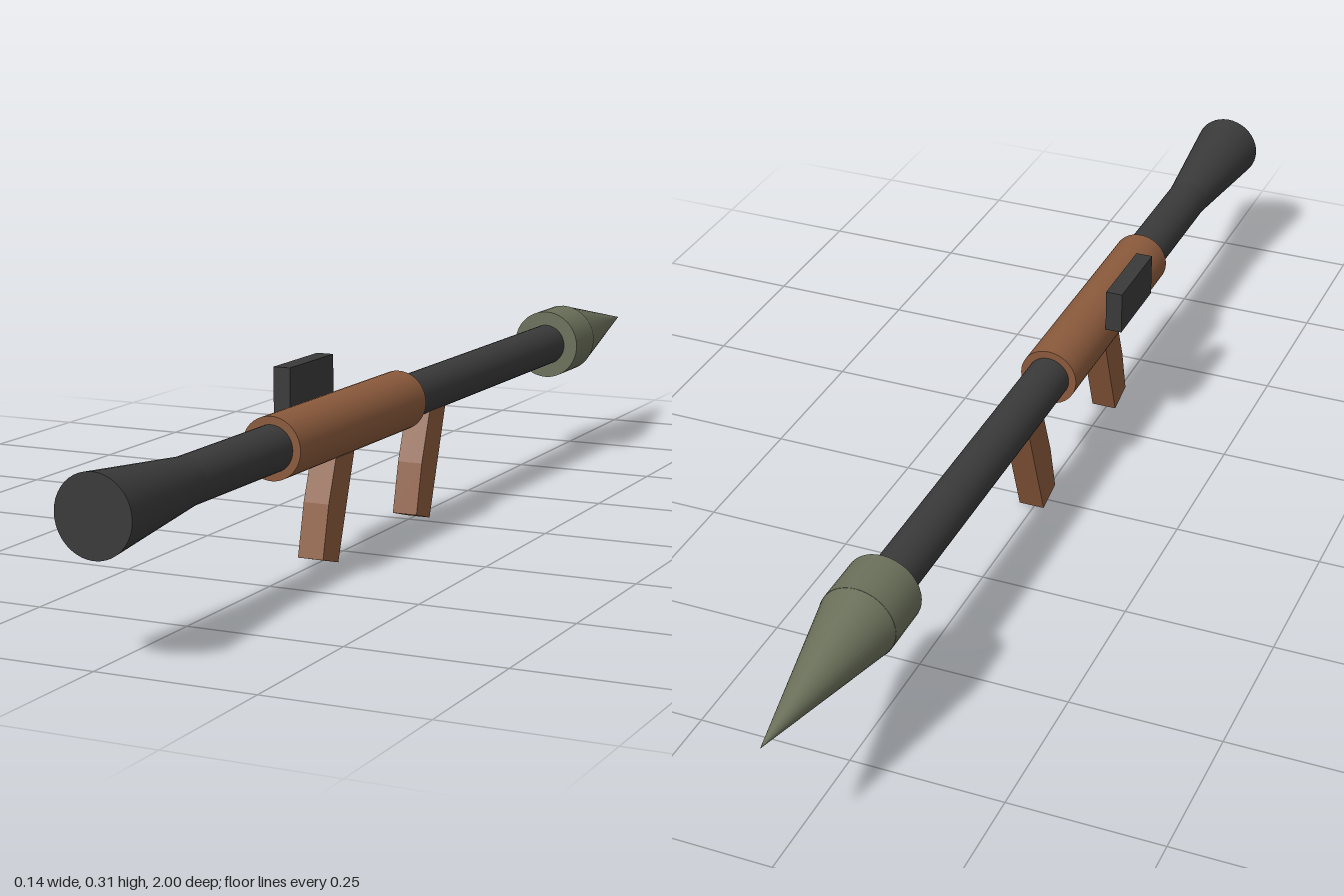
import * as THREE from 'three';

const AXIS_X = 0.005, AXIS_Y = 0.214;

function material(name, color) {
  const m = new THREE.MeshStandardMaterial({ color });
  m.name = name;
  return m;
}

export function createModel() {
  const group = new THREE.Group();
  const steel = material('dark steel', 0x3a3a3a);
  const wood = material('brown wood', 0x8b5a3c);
  const olive = material('olive green', 0x6b705a);

  const add = (name, geometry, mat, x = 0, y = 0, z = 0) => {
    const mesh = new THREE.Mesh(geometry, mat);
    mesh.name = name;
    mesh.position.set(x, y, z);
    group.add(mesh);
  };

  // Round section along z, from zBack to zFront
  const section = (name, mat, zBack, zFront, rBack, rFront) => {
    const geo = new THREE.CylinderGeometry(rFront, rBack, zFront - zBack, 40);
    geo.rotateX(Math.PI / 2);
    add(name, geo, mat, AXIS_X, AXIS_Y, (zBack + zFront) / 2);
  };

  // Tube with its flared end and wooden sleeve
  section('tube', steel, -0.65, 0.77, 0.037, 0.037);
  section('flare', steel, 0.76, 1, 0.037, 0.061);
  section('sleeve', wood, 0.05, 0.5, 0.05, 0.05);

  // Warhead: short collar and pointed cone
  section('warheadCollar', olive, -0.695, -0.605, 0.0625, 0.0625);
  section('warheadCone', olive, -1, -0.695, 0, 0.062);

  // Bent grips: side profile as [z, y], extruded across x
  const profile = [[0.374, 0.015], [0.353, 0.1], [0.319, 0.19], [0.255, 0.19], [0.321, 0]];
  const shape = new THREE.Shape(profile.map(([z, y]) => new THREE.Vector2(-z, y)));
  const grip = new THREE.ExtrudeGeometry(shape, { depth: 0.044, bevelEnabled: false });
  grip.translate(0, 0, -0.022);
  grip.rotateY(Math.PI / 2);
  add('rearGrip', grip, wood, AXIS_X, 0, 0);
  add('foregrip', grip, wood, AXIS_X, 0, -0.347);

  // Sight block on the right side
  add('sight', new THREE.BoxGeometry(0.029, 0.074, 0.15), steel, -0.0555, 0.274, 0.275);

  // Grip profile was drawn with z mirrored: turn it back
  for (const mesh of group.children) {
    if (mesh.name === 'rearGrip' || mesh.name === 'foregrip') mesh.updateMatrix();
  }
  return group;
}
